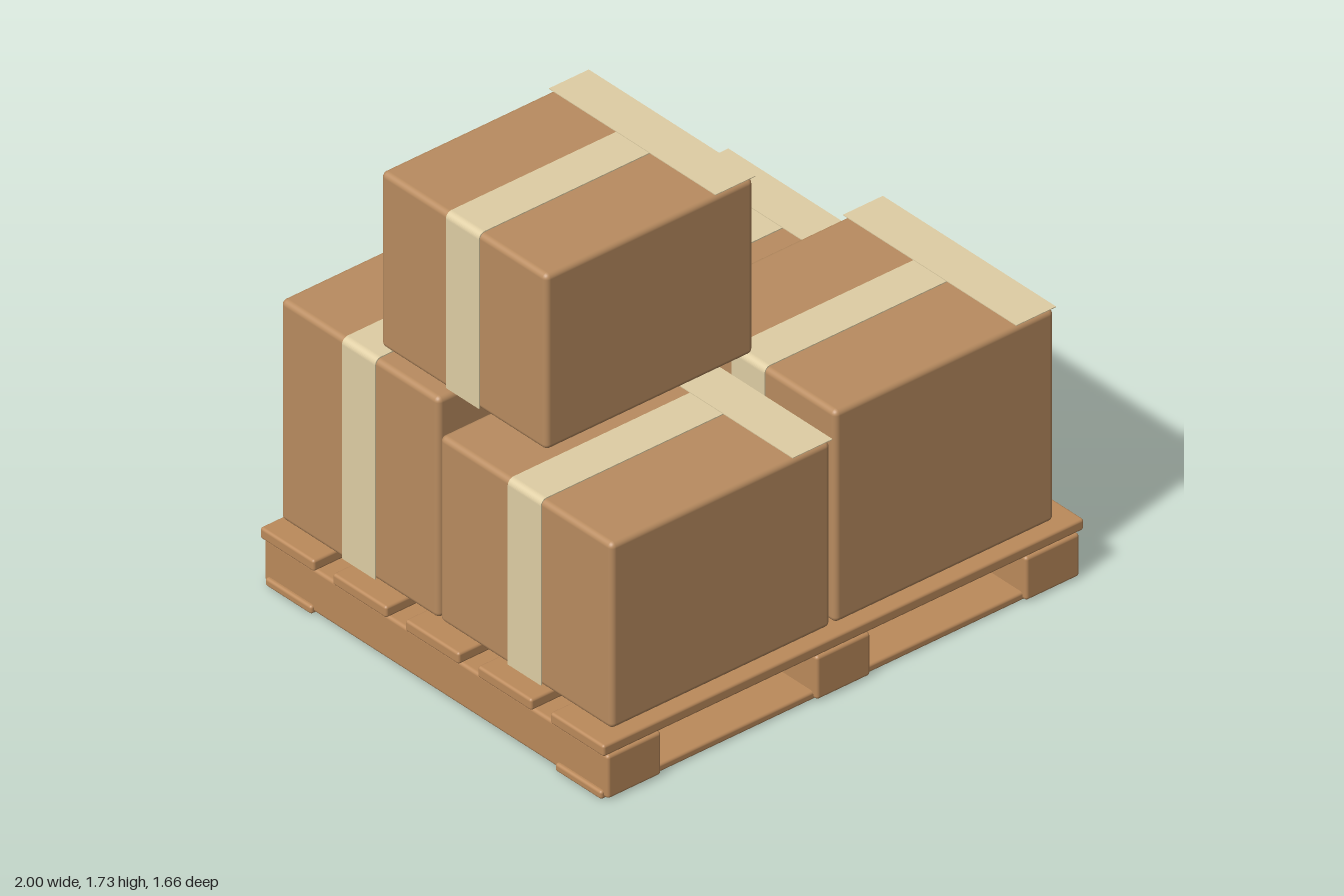
import * as THREE from 'three';
import { RoundedBoxGeometry } from 'three/addons/geometries/RoundedBoxGeometry.js';

const mat = (name, color) => new THREE.MeshStandardMaterial({ name, color });

export function createModel() {
  const cardboard = mat('cardboard', 0xb98c60);
  const wood = mat('wood', 0xbb8a5b);
  const tape = mat('tape', 0xdfcea4);
  const model = new THREE.Group();
  model.name = 'loadedPallet';

  // Rounded block given by its min and max corners
  function block(parent, name, material, [x0, y0, z0], [x1, y1, z1], radius) {
    const geo = new RoundedBoxGeometry(x1 - x0, y1 - y0, z1 - z0, 3, radius);
    const mesh = new THREE.Mesh(geo, material);
    mesh.position.set((x0 + x1) / 2, (y0 + y1) / 2, (z0 + z1) / 2);
    mesh.name = name;
    parent.add(mesh);
    return mesh;
  }

  // Pallet: top slats, stringers and bottom boards
  const pallet = new THREE.Group();
  pallet.name = 'pallet';
  model.add(pallet);
  for (const z of [-0.7, -0.35, 0, 0.35, 0.7]) {
    block(pallet, 'topSlat', wood, [-1, 0.172, z - 0.13], [1, 0.215, z + 0.13], 0.01);
  }
  for (const x of [-0.87, 0, 0.87]) {
    block(pallet, 'stringer', wood, [x - 0.112, 0.005, -0.83], [x + 0.112, 0.168, 0.83], 0.012);
  }
  for (const z of [-0.7, 0.7]) {
    block(pallet, 'bottomBoard', wood, [-0.995, 0, z - 0.112], [0.995, 0.031, z + 0.112], 0.01);
  }

  // Tape running up one side, over the top and down the other side
  function tapeStrap(w, h, width, r) {
    const t = 0.004, x = w / 2;
    const s = new THREE.Shape();
    s.moveTo(x + t, 0);
    s.lineTo(x + t, h - r);
    s.absarc(x - r, h - r, r + t, 0, Math.PI / 2, false);
    s.absarc(-x + r, h - r, r + t, Math.PI / 2, Math.PI, false);
    s.lineTo(-x - t, 0);
    s.lineTo(-x, 0);
    s.absarc(-x + r, h - r, r, Math.PI, Math.PI / 2, true);
    s.absarc(x - r, h - r, r, Math.PI / 2, 0, true);
    s.lineTo(x, 0);
    const geo = new THREE.ExtrudeGeometry(s, { depth: width, bevelEnabled: false, curveSegments: 5 });
    return new THREE.Mesh(geo.translate(0, 0, -width / 2), tape);
  }

  // Cartons: min corner, max corner, strap centre along z
  const cartons = [
    ['frontLeftCarton', [0.005, 0.218, -0.05], [0.918, 1.018, 0.782], 0.365],
    ['frontRightCarton', [-0.925, 0.218, -0.05], [-0.012, 0.918, 0.782], 0.365],
    ['backLeftCarton', [0.065, 0.218, -0.803], [0.924, 0.818, -0.068], -0.435],
    ['backRightCarton', [-0.925, 0.218, -0.818], [-0.012, 1.05, -0.055], -0.435],
    ['topCarton', [-0.868, 1.055, -0.4], [-0.004, 1.717, 0.4], 0],
  ];
  const r = 0.02;
  for (const [name, a, b, z] of cartons) {
    const carton = new THREE.Group();
    carton.name = name;
    model.add(carton);
    block(carton, 'box', cardboard, a, b, r);
    const strap = tapeStrap(b[0] - a[0], b[1] - a[1] - 0.004, 0.16, r);
    strap.name = 'sealingTape';
    strap.position.set((a[0] + b[0]) / 2, a[1] + 0.004, z);
    carton.add(strap);
    // Flat strip along the edge of the lid
    const strip = new THREE.Mesh(new THREE.BoxGeometry(0.165, 0.003, b[2] - a[2] + 0.004), tape);
    strip.name = 'edgeTape';
    strip.position.set(b[0] - 0.0785, b[1] + 0.0065, (a[2] + b[2]) / 2);
    carton.add(strip);
  }
  return model;
}
